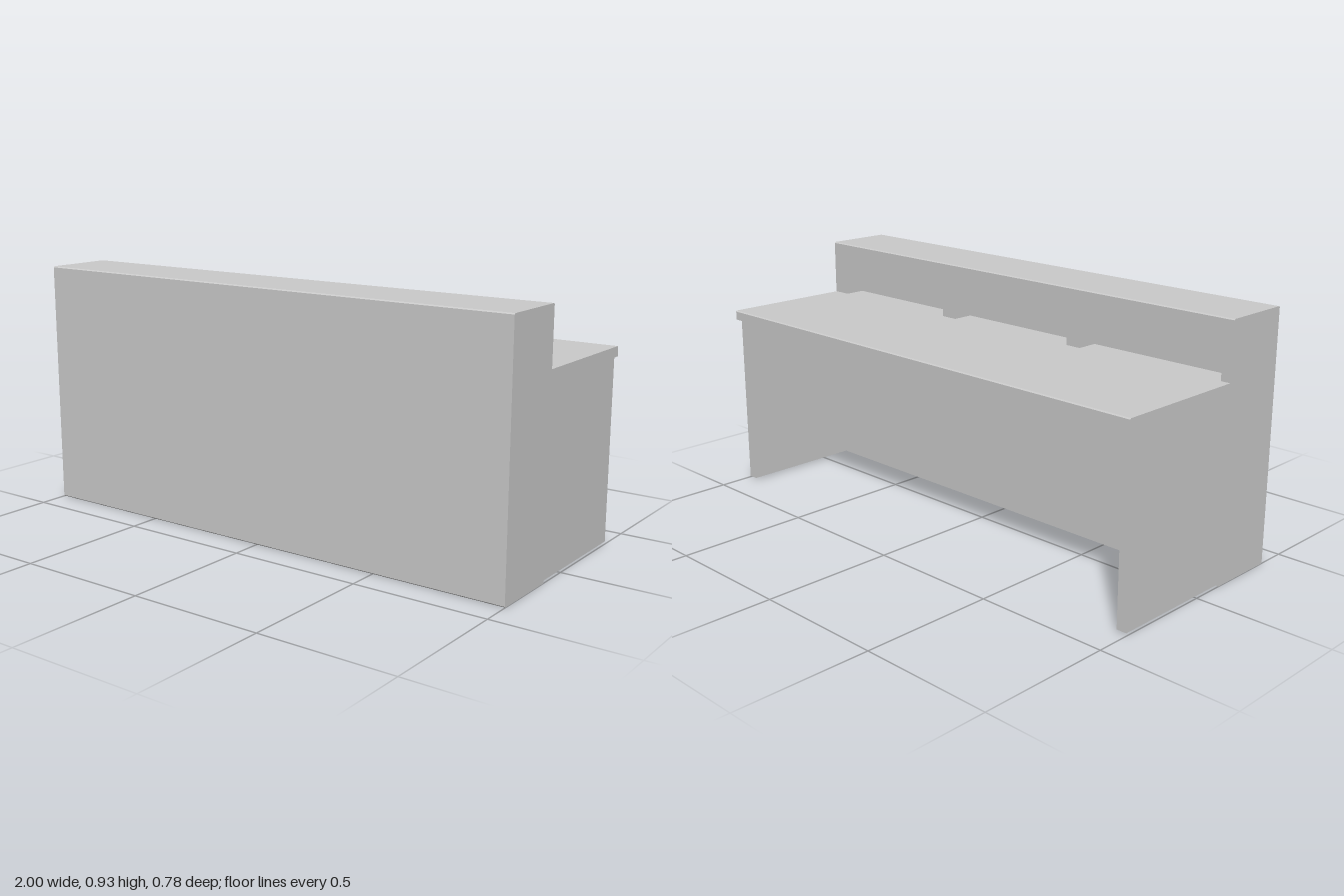
import * as THREE from 'three';

const material = new THREE.MeshStandardMaterial({ color: 0xcccccc, flatShading: true });

// Extrudes a side profile of [z, y] points between x0 and x1.
function panel(name, points, x0, x1) {
  const shape = new THREE.Shape(points.map(([z, y]) => new THREE.Vector2(-z, y)));
  const geometry = new THREE.ExtrudeGeometry(shape, { depth: x1 - x0, bevelEnabled: false });
  geometry.rotateY(Math.PI / 2).translate(x0, 0, 0);
  const mesh = new THREE.Mesh(geometry, material);
  mesh.name = name;
  return mesh;
}

export function createModel() {
  const group = new THREE.Group();
  group.name = 'receptionDesk';

  const T = 0.038;              // board thickness
  const C = 0.004;              // edge chamfer
  const H = 0.928;              // counter height
  const FRONT = 0.39, BACK = 0.126, NICHE = 0.238;
  const DESK = 0.716, DESK_BASE = 0.679;
  const NICHE_TOP = H - 0.035;

  // Chamfered outline shared by the counter body and its ends
  const frontEdge = [[BACK, 0], [FRONT - C, 0], [FRONT, C], [FRONT, H - C], [FRONT - C, H], [BACK + C, H], [BACK, H - C]];

  // Counter body with an open niche facing the desk
  group.add(panel('counterBody',
    [...frontEdge, [BACK, NICHE_TOP], [NICHE, NICHE_TOP], [NICHE, DESK - 0.01], [BACK, DESK - 0.01]],
    -1 + T, 1 - T));

  // Niche dividers
  for (const x of [-0.32, 0.32]) {
    group.add(panel('nicheDivider',
      [[BACK, DESK - 0.01], [NICHE, DESK - 0.01], [NICHE, NICHE_TOP], [BACK, NICHE_TOP]],
      x - T / 2, x + T / 2));
  }

  // Counter ends and desk side panels, mirrored
  const sideProfile = [[BACK, 0.006], [BACK, DESK_BASE], [-0.368, DESK_BASE], [-0.368, 0.006]];
  for (const side of [-1, 1]) {
    const span = (outer, inner) => (side > 0 ? [inner, outer] : [-outer, -inner]);
    group.add(panel('counterEnd', frontEdge, ...span(1, 1 - T)));
    group.add(panel('deskSide', sideProfile, ...span(0.995, 0.995 - T)));
  }

  // Desk top overhanging the side panels at the back
  group.add(panel('deskTop',
    [[BACK, DESK_BASE], [BACK, DESK], [-0.39 + C, DESK], [-0.39, DESK - C], [-0.39, DESK_BASE]],
    -0.998, 0.998));

  return group;
}
